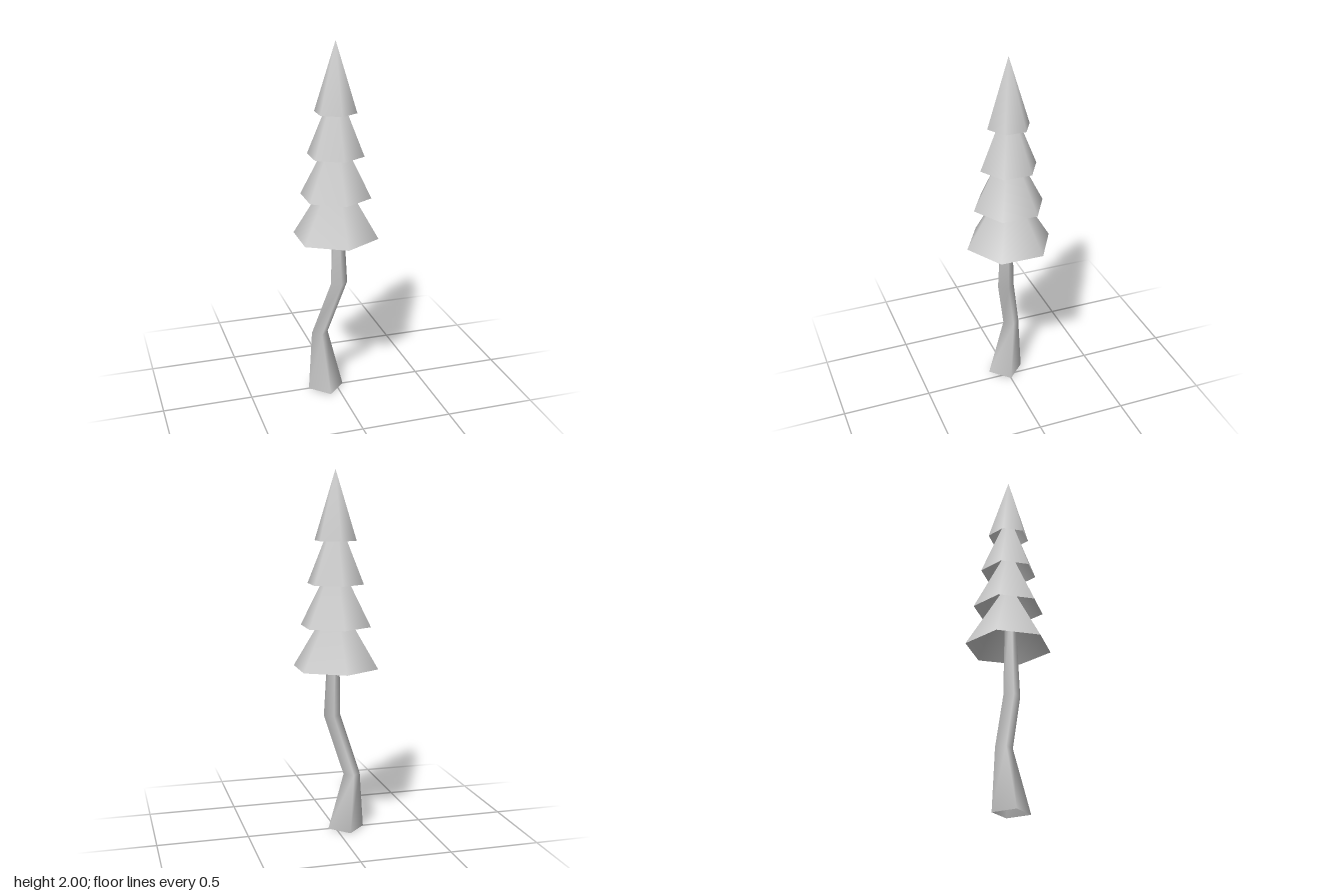
import * as THREE from 'three';
import { mergeVertices } from 'three/addons/utils/BufferGeometryUtils.js';

// Weld the seams and apex so the shading runs smoothly round the low-poly form
function smooth(geometry) {
  geometry.deleteAttribute('uv');
  geometry.deleteAttribute('normal');
  const welded = mergeVertices(geometry, 1e-4);
  welded.computeVertexNormals();
  return welded;
}

export function createModel() {
  const tree = new THREE.Group();
  tree.name = 'pineTree';
  const grey = new THREE.MeshStandardMaterial({ color: 0xcccccc, side: THREE.DoubleSide });
  grey.name = 'plainGrey';

  // Crooked four-sided trunk, open below: [y, centre x, centre z, radius] from top to bottom
  const rings = [
    [1.2, 0.005, 0.01, 0.028],
    [0.655, 0.014, 0.022, 0.047],
    [0.33, -0.081, -0.045, 0.047],
    [0, -0.06, 0, 0.102],
  ];
  const trunkGeometry = new THREE.CylinderGeometry(1, 1, 1, 4, rings.length - 1, true);
  const p = trunkGeometry.attributes.position;
  for (let i = 0; i < p.count; i++) {
    const [y, cx, cz, r] = rings[Math.floor(i / 5)];
    p.setXYZ(i, cx + p.getX(i) * r, y, cz + p.getZ(i) * r);
  }
  const trunk = new THREE.Mesh(smooth(trunkGeometry), grey);
  trunk.name = 'trunk';
  tree.add(trunk);

  // Hollow six-sided foliage skirts: [base y, apex y, radius]
  const tiers = [
    [0.93, 1.33, 0.24],
    [1.16, 1.55, 0.198],
    [1.39, 1.78, 0.158],
    [1.623, 2, 0.117],
  ];
  tiers.forEach(([base, apex, radius], i) => {
    const cone = new THREE.ConeGeometry(radius, apex - base, 6, 1, true);
    const tier = new THREE.Mesh(smooth(cone), grey);
    tier.position.y = (base + apex) / 2;
    tier.name = `foliageTier${i + 1}`;
    tree.add(tier);
  });

  return tree;
}
